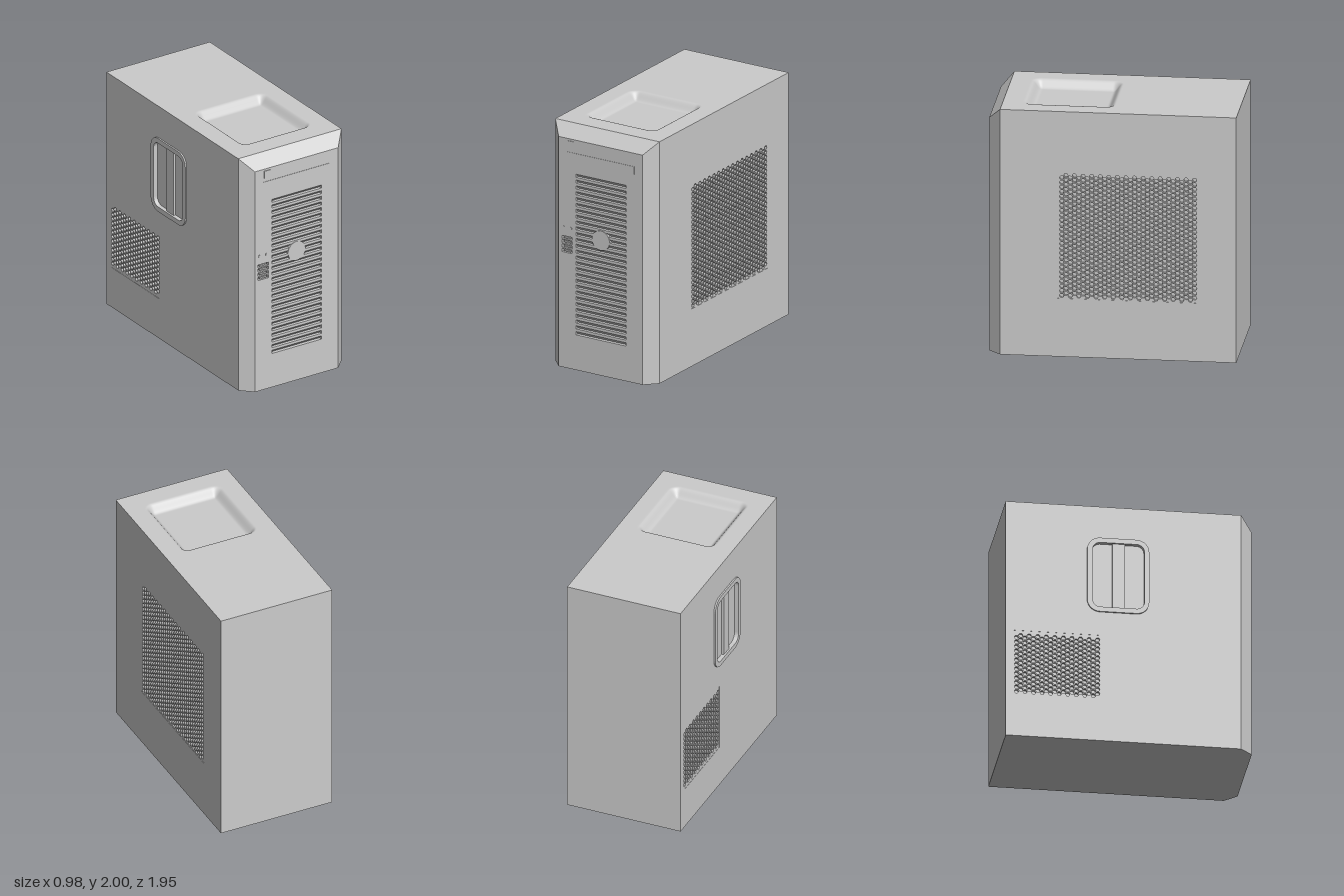
import * as THREE from 'three';

const mat = new THREE.MeshStandardMaterial({ color: 0xcccccc });
// main dimensions: outer box, and the front face inside the bevels
const L = -0.477, R = 0.485, BACK = -0.97, BEV = 0.875, FRONT = 0.97;
const FL = -0.385, FR = 0.39, TOP = 2, FTOP = 1.9;

const rect = (x0, y0, x1, y1) => [[x0, y0], [x1, y0], [x1, y1], [x0, y1]];

function roundRect(x0, y0, x1, y1, r) {
  const pts = [];
  const corners = [[x1 - r, y1 - r], [x0 + r, y1 - r], [x0 + r, y0 + r], [x1 - r, y0 + r]];
  corners.forEach(([cx, cy], k) => {
    for (let i = 0; i <= 8; i++) {
      const a = (k + i / 8) * Math.PI / 2;
      pts.push([cx + r * Math.cos(a), cy + r * Math.sin(a)]);
    }
  });
  return pts;
}

// plate whose outer face lies on z = 0 and whose thickness goes inward
function plate(outline, holes, depth) {
  const v = (p) => p.map(([x, y]) => new THREE.Vector2(x, y));
  const shape = new THREE.Shape(v(outline));
  for (const h of holes) shape.holes.push(new THREE.Path(v(h)));
  return new THREE.ExtrudeGeometry(shape, { depth, bevelEnabled: false }).translate(0, 0, -depth);
}

// sheet with staggered hexagonal holes
function hexMesh(x0, y0, x1, y1) {
  const px = 0.0335, py = 0.0385, r = 0.0175, holes = [];
  const cols = Math.floor((x1 - x0 - 2 * r) / px), rows = Math.floor((y1 - y0 - py / 2) / py);
  const ox = (x0 + x1 - cols * px) / 2, oy = (y0 + y1 - (rows - 0.5) * py) / 2;
  for (let c = 0; c <= cols; c++) {
    for (let k = 0; k < rows; k++) {
      const cx = ox + c * px, cy = oy + (k + (c % 2) / 2) * py;
      holes.push([0, 1, 2, 3, 4, 5].map((i) => [
        cx + r * Math.cos(i * Math.PI / 3), cy + r * Math.sin(i * Math.PI / 3)]));
    }
  }
  return plate(rect(x0, y0, x1, y1), holes, 0.02);
}

export function createModel() {
  const group = new THREE.Group();
  const add = (name, geo) => {
    const m = new THREE.Mesh(geo, mat);
    m.name = name;
    group.add(m);
    return m;
  };
  const box = (name, x0, y0, z0, x1, y1, z1) => add(name,
    new THREE.BoxGeometry(x1 - x0, y1 - y0, z1 - z0)
      .translate((x0 + x1) / 2, (y0 + y1) / 2, (z0 + z1) / 2));
  const onFront = (g) => g.translate(0, 0, FRONT);
  const onPlusX = (g) => g.rotateY(Math.PI / 2).translate(R, 0, 0);   // plate x = -z
  const onMinusX = (g) => g.rotateY(-Math.PI / 2).translate(L, 0, 0); // plate x = +z

  // front panel with the vent opening and the port slots
  const vent = [-0.225, 0.29, 0.235, 1.64];
  const ports = [1.075, 1.04, 1.003, 0.967];
  add('frontPanel', onFront(plate(rect(FL, 0, FR, FTOP), [
    rect(...vent),
    ...ports.map((y) => rect(-0.355, y - 0.013, -0.26, y + 0.013)),
  ], 0.04)));
  box('frontBacking', FL, 0.2, 0.915, FR, 1.7, 0.931);
  for (const y of ports) box('portTongue', -0.34, y - 0.006, 0.93, -0.275, y + 0.006, 0.966);

  // louvres: one sawtooth profile swept across the vent
  const n = 28, p = (vent[3] - vent[1]) / n;
  const saw = [[0.04, vent[1]]];
  for (let i = 0; i < n; i++) {
    const y = vent[1] + i * p;
    saw.push([0.03, y], [0.003, y + p * 0.55], [0.003, y + p]);
  }
  saw.push([0.04, vent[3]]);
  const width = vent[2] - vent[0];
  add('ventLouvres', plate(saw, [], width).rotateY(Math.PI / 2).translate(vent[2], 0, FRONT));

  // round badge plate, drive bay, small button and indicator lights
  add('ventDisc', new THREE.CylinderGeometry(0.081, 0.081, 0.03, 48)
    .rotateX(Math.PI / 2).translate(0.004, 1.115, FRONT - 0.014));
  box('driveBay', -0.305, 1.725, 0.95, 0.315, 1.79, FRONT + 0.003);
  box('ejectButton', -0.3, 1.82, 0.95, -0.237, 1.883, FRONT + 0.005);
  for (const x of [-0.341, -0.275]) {
    add('powerButton', new THREE.CylinderGeometry(0.012, 0.012, 0.02, 20)
      .rotateX(Math.PI / 2).translate(x, 1.16, FRONT - 0.005));
  }

  // mitred bevels round the front: top, +x side and -x side
  const quads = [
    [[FL, FTOP, FRONT], [FR, FTOP, FRONT], [R, TOP, BEV], [L, TOP, BEV]],
    [[FR, 0, FRONT], [R, 0, BEV], [R, TOP, BEV], [FR, FTOP, FRONT]],
    [[L, 0, BEV], [FL, 0, FRONT], [FL, FTOP, FRONT], [L, TOP, BEV]],
  ];
  const verts = quads.flatMap((q) => [0, 1, 2, 0, 2, 3].flatMap((i) => q[i]));
  const bevel = new THREE.BufferGeometry();
  bevel.setAttribute('position', new THREE.Float32BufferAttribute(verts, 3));
  bevel.computeVertexNormals();
  add('frontBevels', bevel);

  // +x side panel with the large mesh vent
  const big = [-0.425, 0.475, 0.675, 1.5];
  add('leftPanel', onPlusX(plate(rect(-BEV, 0, -BACK, TOP), [rect(...big)], 0.03)));
  add('largeMeshVent', onPlusX(hexMesh(...big).translate(0, 0, -0.002)));
  box('largeVentBacking', R - 0.04, 0.45, -0.7, R - 0.022, 1.53, 0.45);

  // -x side panel with the small mesh vent and the latch recess
  const small = [-0.907, 0.343, -0.228, 0.9];
  const latchHole = roundRect(-0.29, 1.14, 0.115, 1.69, 0.06);
  add('rightPanel', onMinusX(plate(rect(BACK, 0, BEV, TOP), [rect(...small), latchHole], 0.03)));
  add('smallMeshVent', onMinusX(hexMesh(...small).translate(0, 0, -0.002)));
  box('smallVentBacking', L + 0.022, 0.31, -0.93, L + 0.04, 0.93, -0.2);
  add('latchFrame', onMinusX(plate(roundRect(-0.333, 1.1, 0.153, 1.73, 0.1), [latchHole], 0.03)
    .translate(0, 0, 0.013)));
  box('latchFloor', L + 0.022, 1.1, -0.33, L + 0.04, 1.73, 0.15);
  box('latchBar', L + 0.002, 1.14, -0.135, L + 0.03, 1.69, -0.035);

  // back and bottom
  add('backPanel', plate(rect(-R, 0, -L, TOP), [], 0.03).rotateY(Math.PI).translate(0, 0, BACK));
  add('bottomPanel', plate([[L, BACK], [R, BACK], [R, BEV], [FR, FRONT], [FL, FRONT], [L, BEV]], [], 0.02)
    .rotateX(Math.PI / 2));

  // top with a soft-edged tray pressed into it
  const tx = 0.005, tz = 0.355, hw = 0.36, hd = 0.4;
  add('topPanel', plate(rect(L, -BEV, R, -BACK), [rect(tx - hw, -tz - hd, tx + hw, -tz + hd)], 0.01)
    .rotateX(-Math.PI / 2).translate(0, TOP, 0));
  const tray = new THREE.PlaneGeometry(2 * hw, 2 * hd, 80, 88).rotateX(-Math.PI / 2);
  const pos = tray.attributes.position;
  for (let i = 0; i < pos.count; i++) {
    const dx = Math.max(Math.abs(pos.getX(i)) - 0.255, 0);
    const dz = Math.max(Math.abs(pos.getZ(i)) - 0.28, 0);
    pos.setY(i, -0.065 * (1 - THREE.MathUtils.smoothstep(Math.hypot(dx, dz), 0, 0.075)));
  }
  tray.computeVertexNormals();
  add('topTray', tray.translate(tx, TOP, tz));

  return group;
}
